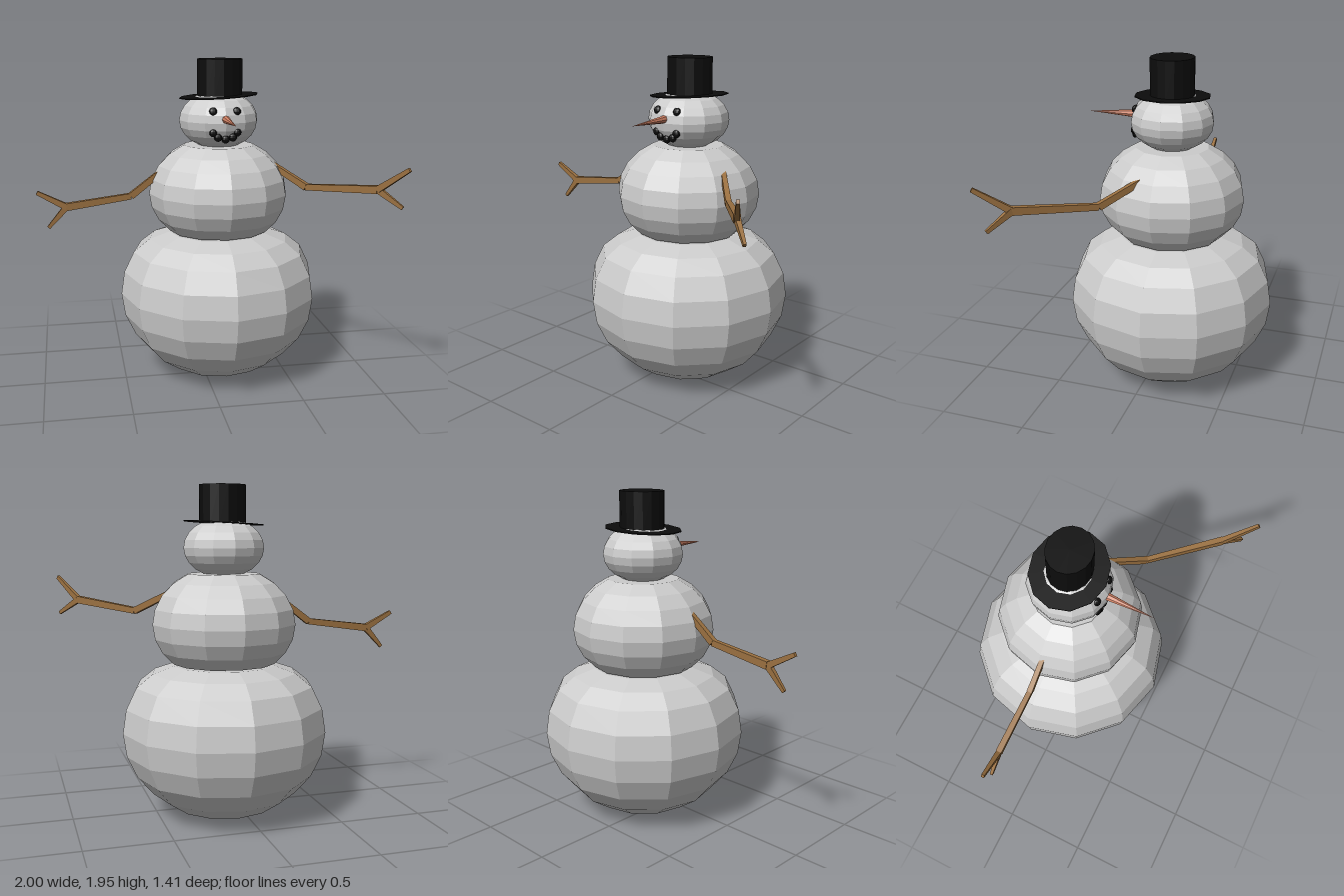
import * as THREE from 'three';

const mat = (color, extra = {}) => new THREE.MeshStandardMaterial({ color, flatShading: true, ...extra });
const snow = mat(0xcccccc);
const black = mat(0x0c0c0c, { side: THREE.DoubleSide });
const wood = mat(0x9a7040);
const carrot = mat(0xcf8063);
const CX = 0.1, CZ = -0.1; // vertical axis of the body

function add(parent, name, geometry, material, x = 0, y = 0, z = 0) {
  const mesh = new THREE.Mesh(geometry, material);
  mesh.name = name;
  mesh.position.set(x, y, z);
  parent.add(mesh);
  return mesh;
}

// Twelve-sided squashed ball, with rings every 15 degrees cut flat between yMin and yMax
function snowball(parent, name, y, radius, halfHeight, fromDeg, toDeg, yMin, yMax) {
  const profile = [new THREE.Vector2(0, yMin)];
  for (let a = fromDeg; a <= toDeg; a += 15) {
    const t = THREE.MathUtils.degToRad(a);
    const py = y + halfHeight * Math.sin(t);
    profile.push(new THREE.Vector2(radius * Math.cos(t), THREE.MathUtils.clamp(py, yMin, yMax)));
  }
  profile.push(new THREE.Vector2(0, yMax));
  return add(parent, name, new THREE.LatheGeometry(profile, 12), snow, CX, 0, CZ);
}

// Square tapering stick between two points; one pair of faces stays vertical
function stick(parent, name, from, to, h0, h1) {
  const a = new THREE.Vector3(...from), b = new THREE.Vector3(...to);
  const dir = b.clone().sub(a), length = dir.length();
  dir.normalize();
  const side = new THREE.Vector3().crossVectors(dir, new THREE.Vector3(0, 1, 0)).normalize();
  const up = new THREE.Vector3().crossVectors(side, dir);
  const g = new THREE.CylinderGeometry(h1 * Math.SQRT1_2, h0 * Math.SQRT1_2, length, 4);
  g.rotateY(Math.PI / 4);
  g.scale(1, 1, 0.8);
  const mesh = add(parent, name, g, wood);
  // local x = up, local y = along the stick, local z = side
  mesh.quaternion.setFromRotationMatrix(new THREE.Matrix4().makeBasis(up, dir, up.clone().cross(dir)));
  mesh.position.copy(a).add(b).multiplyScalar(0.5);
}

function arm(parent, name, [shoulder, elbow, wrist, upperTip, lowerTip]) {
  const g = new THREE.Group();
  g.name = name;
  stick(g, 'upperArm', shoulder, elbow, 0.035, 0.04);
  stick(g, 'forearm', elbow, wrist, 0.036, 0.044);
  stick(g, 'upperTwig', wrist, upperTip, 0.038, 0.023);
  stick(g, 'lowerTwig', wrist, lowerTip, 0.036, 0.02);
  parent.add(g);
}

export function createModel() {
  const model = new THREE.Group();
  model.name = 'snowman';

  // Body: three stacked balls
  const base = new THREE.LatheGeometry([
    [0, 0], [0.157, 0], [0.305, 0.052], [0.431, 0.138], [0.528, 0.25], [0.589, 0.38], [0.61, 0.52],
    [0.589, 0.66], [0.528, 0.785], [0.431, 0.862], [0.305, 0.905], [0, 0.905],
  ].map(([x, y]) => new THREE.Vector2(x, y)), 12);
  add(model, 'base', base, snow, CX, 0, CZ);
  snowball(model, 'torso', 1.15, 0.427, 0.335, -45, 60, 0.905, 1.44);
  snowball(model, 'head', 1.59, 0.24, 0.174, -60, 60, 1.44, 1.74);

  // Hat: upright crown and a thin, slightly tilted brim
  const hat = new THREE.Group();
  hat.name = 'hat';
  hat.position.set(CX, 0, CZ);
  model.add(hat);
  const crown = add(hat, 'crown', new THREE.CylinderGeometry(0.125, 0.125, 0.22, 16), black, 0.007, 1.84, 0);
  crown.scale.x = 1.1;
  const brim = add(hat, 'brim', new THREE.CylinderGeometry(0.215, 0.215, 0.006, 12), black, 0, 1.732, 0);
  brim.scale.x = 1.11;
  brim.rotation.z = 0.055;

  // Face: coal eyes, coal smile and carrot nose
  const coal = new THREE.SphereGeometry(0.024, 10, 8);
  for (const s of [-1, 1]) {
    const eye = add(model, s > 0 ? 'leftEye' : 'rightEye', coal, black, CX + s * 0.07, 1.658, 0.1);
    eye.scale.z = 0.7;
    eye.rotation.x = -0.4;
  }
  [[-0.07, 1.535, 0.107], [-0.042, 1.507, 0.108], [0.003, 1.496, 0.108], [0.046, 1.507, 0.108], [0.072, 1.535, 0.107]]
    .forEach(([x, y, z], i) => {
      const piece = add(model, 'mouthCoal' + (i + 1), coal, black, CX + x, y, z);
      piece.scale.z = 0.75;
    });
  const nose = add(model, 'nose', new THREE.ConeGeometry(0.026, 0.31, 8), carrot, CX, 1.61, 0.25);
  nose.rotation.x = Math.PI / 2 + 0.02;

  // Forked branch arms
  arm(model, 'rightArm', [
    [-0.265, 1.275, -0.085], [-0.44, 1.14, -0.085], [-0.825, 1.088, -0.085],
    [-0.995, 1.18, -0.085], [-0.935, 0.965, -0.085],
  ]);
  arm(model, 'leftArm', [
    [0.415, 1.32, -0.015], [0.58, 1.21, 0.17], [0.88, 1.255, 0.53],
    [0.99, 1.39, 0.69], [0.99, 1.165, 0.625],
  ]);

  return model;
}
